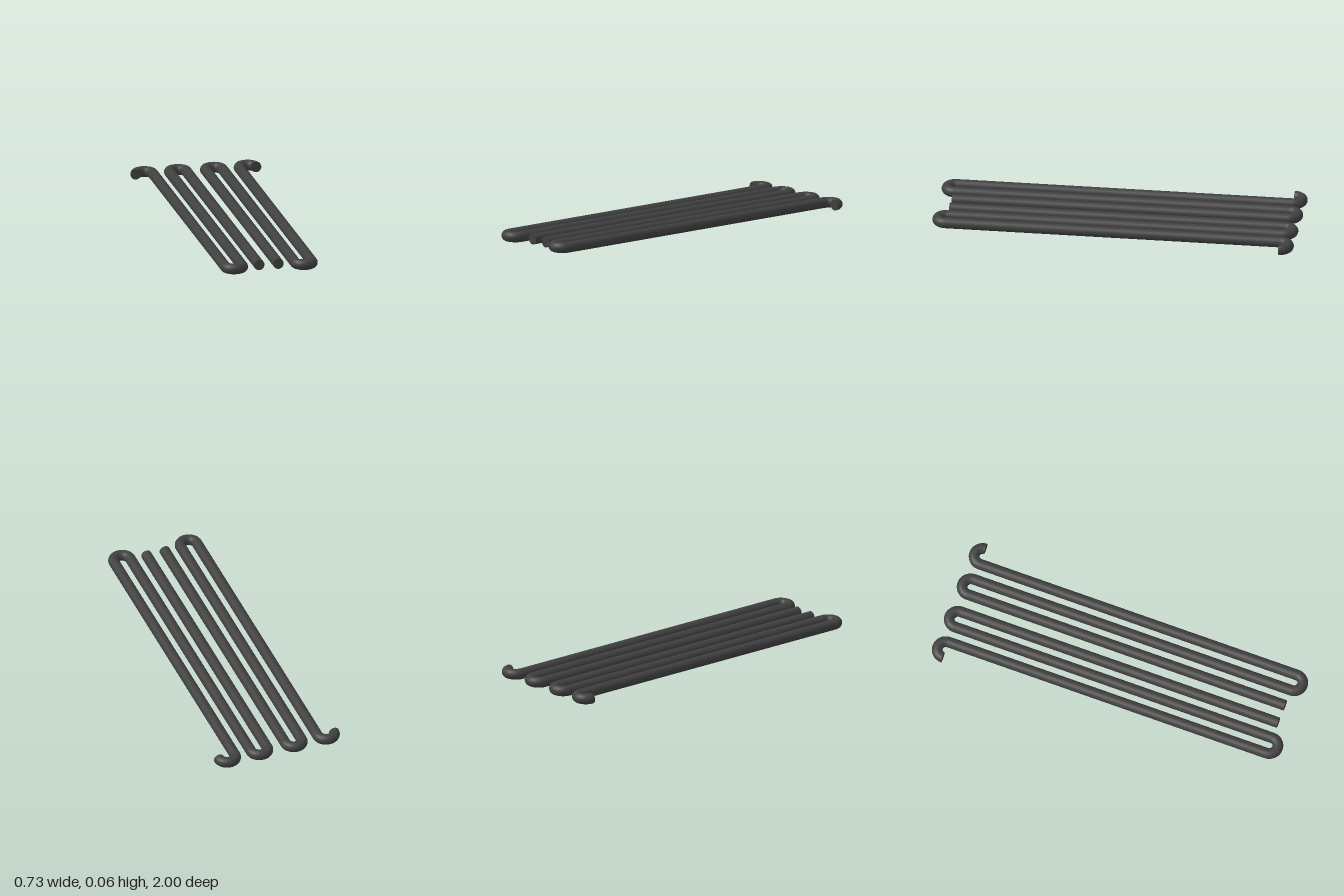
import * as THREE from 'three';

const R = 0.0295;             // pipe radius
const PITCH = 0.094;          // distance between neighbouring pipes
const BEND = PITCH / 2;       // bend radius
const END = 1 - R - BEND;     // z where straights meet bends

export function createModel() {
  const model = new THREE.Group();
  const mat = new THREE.MeshStandardMaterial({ color: 0x404040 });

  const add = (parent, name, geo, x, z) => {
    const mesh = new THREE.Mesh(geo, mat);
    mesh.name = name;
    mesh.position.set(x, R, z);
    parent.add(mesh);
  };

  // shared pieces: straight pipe, half-circle bends, flat end cap
  const straight = new THREE.CylinderGeometry(R, R, 2 * END, 24, 1, true).rotateX(Math.PI / 2);
  const half = () => new THREE.TorusGeometry(BEND, R, 24, 20, Math.PI);
  const backBend = half().rotateX(-Math.PI / 2);
  const frontBend = half().rotateX(Math.PI / 2);
  const cap = new THREE.CircleGeometry(R, 24);

  // one serpentine per side, starting at its innermost pipe
  for (const [name, side, start] of [['leftCoil', 1, 0.0525], ['rightCoil', -1, 0.0545]]) {
    const coil = new THREE.Group();
    coil.name = name;
    const at = (i) => side * (start + i * PITCH);

    for (let i = 0; i < 3; i++) {
      add(coil, 'straightPipe', straight, at(i), 0);
      const back = i % 2 === 0;
      add(coil, i === 2 ? 'endHook' : back ? 'backBend' : 'frontBend',
        back ? backBend : frontBend, at(i + 0.5), back ? -END : END);
    }

    // closed ends of the inner pipe and of the outer hook
    add(coil, 'innerEndCap', cap, at(0), END);
    add(coil, 'hookEndCap', cap, at(3), -END);
    model.add(coil);
  }
  return model;
}
